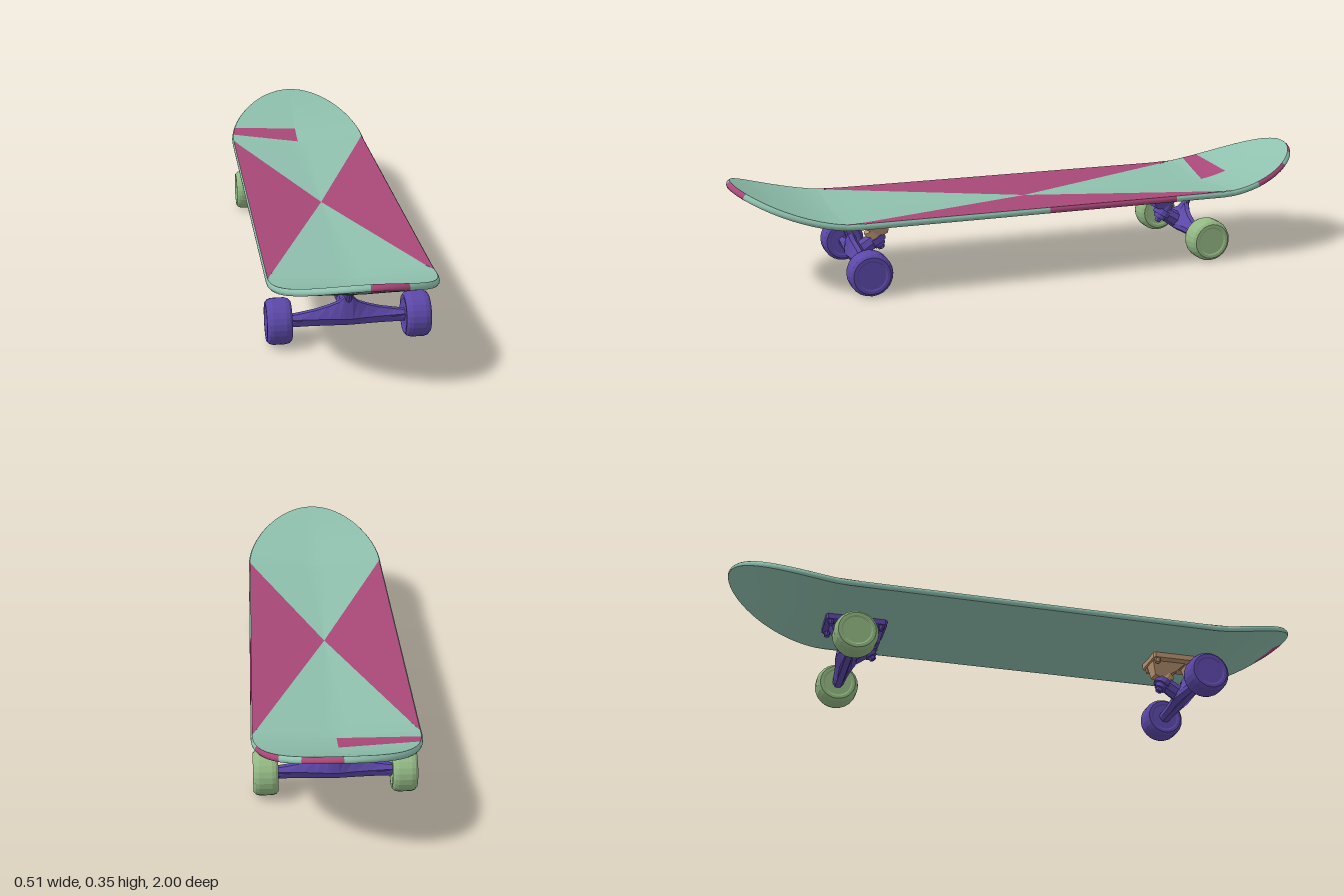
import * as THREE from 'three';

const TEAL = 0x8fc0ae, PINK = 0xa84878, PURPLE = 0x5c48a8, TAN = 0xb8926f, GREEN = 0x93b884;
const HALF_W = 0.25, STRAIGHT = 0.67, END = 0.32, THICK = 0.02;

function material(color, flat = false) {
  return new THREE.MeshStandardMaterial({ color, flatShading: flat, side: THREE.DoubleSide });
}

function part(parent, name, geometry, color, flat = true) {
  const mesh = new THREE.Mesh(geometry, material(color, flat));
  mesh.name = name;
  parent.add(mesh);
  return mesh;
}

// Grid surface from a rule (u, v) -> [x, y, z]
function surface(nu, nv, rule) {
  const pos = [], idx = [];
  for (let i = 0; i <= nu; i++)
    for (let j = 0; j <= nv; j++) pos.push(...rule(i / nu, j / nv));
  for (let i = 0; i < nu; i++)
    for (let j = 0; j < nv; j++) {
      const a = i * (nv + 1) + j, b = a + nv + 1;
      idx.push(a, b, a + 1, b, b + 1, a + 1);
    }
  const g = new THREE.BufferGeometry();
  g.setAttribute('position', new THREE.Float32BufferAttribute(pos, 3));
  g.setIndex(idx);
  g.computeVertexNormals();
  return g;
}

const lerp = THREE.MathUtils.lerp;
const kick = z => Math.pow(Math.max(0, (Math.abs(z) - 0.64) / 0.35), 1.6);

// Point on the deck at depth d below the top: shallow V across, curved kicks at both ends
function deckPoint(x, z, d = 0) {
  const k = kick(z);
  const y = 0.228 + 0.127 * k + 0.017 * (Math.abs(x) / HALF_W) * (1 - k);
  const s = 0.127 * (kick(z + 0.001) - kick(z - 0.001)) / 0.002;
  const len = Math.hypot(1, s);
  return [x, y - d / len, z + d * s / len];
}

// Plan outline, u from 0 to 4: left side, back end, right side, front end
function outline(u) {
  const seg = Math.min(3, Math.floor(u)), t = u - seg, a = t * Math.PI;
  if (seg === 0) return [HALF_W, lerp(STRAIGHT, -STRAIGHT, t), 1, 0];
  if (seg === 2) return [-HALF_W, lerp(-STRAIGHT, STRAIGHT, t), -1, 0];
  const s = seg === 1 ? 1 : -1, c = Math.cos(a) * s, n = -Math.sin(a) * s;
  return [HALF_W * c, STRAIGHT * -s + END * n, c, n];
}

function buildDeck() {
  const deck = new THREE.Group();
  deck.name = 'deck';
  const skin = (name, color, nu, nv, plan, d = 0) =>
    part(deck, name, surface(nu, nv, (u, v) => deckPoint(...plan(u, v), d)), color, false);
  const cap = (s, t0, v0, v1) => (u, v) => {
    const a = lerp(t0, Math.PI / 2, u);
    return [lerp(v0, v1, v) * HALF_W * Math.cos(a), s * (STRAIGHT + END * Math.sin(a))];
  };

  // Four triangles meeting in the middle of the top
  for (const s of [1, -1]) {
    skin('sideTriangle', PINK, 12, 16, (u, v) => [s * HALF_W * u, STRAIGHT * (2 * v - 1) * u]);
    skin('endTriangle', TEAL, 16, 12, (u, v) => [HALF_W * (2 * v - 1) * u, s * STRAIGHT * u]);
  }

  // Curved ends of the top, with a coloured strip across the right half of the back
  const stripAngle = Math.asin(0.1 / END);
  const edge = z => HALF_W * Math.sqrt(Math.max(0, 1 - ((z - STRAIGHT) / END) ** 2));
  const band = (z0, z1) => (u, v) => {
    const z = lerp(z0(v), z1(v), u);
    return [-edge(z) * v, -z];
  };
  const stripStart = v => lerp(0.675, 0.72, v);
  skin('frontEnd', TEAL, 20, 12, cap(1, 0, -1, 1));
  skin('backEndLeft', TEAL, 20, 6, cap(-1, 0, 0, 1));
  skin('backEndRight', TEAL, 16, 6, cap(-1, stripAngle, -1, 0));
  skin('backGap', TEAL, 3, 6, band(() => STRAIGHT, stripStart));
  skin('backStrip', PINK, 4, 6, band(stripStart, () => 0.77));

  // Underside
  skin('underside', TEAL, 4, 4, (u, v) => [HALF_W * (2 * v - 1), STRAIGHT * (2 * u - 1)], THICK);
  for (const s of [1, -1]) skin('undersideEnd', TEAL, 20, 12, cap(s, 0, -1, 1), THICK);

  // Rounded rim in coloured lengths
  const stops = [0, 0.5, 0.84, 1, 1.1, 1.255, 1.35, 1.5, 2, 3, 3.5, 3.65, 4];
  const pinkFrom = [0.5, 1.1, 1.35, 3.5];
  const bulge = [0, 0.004, 0.005, 0.004, 0];
  for (let i = 0; i < stops.length - 1; i++) {
    const [a, b] = [stops[i], stops[i + 1]];
    const g = surface(Math.max(3, Math.ceil((b - a) * 32)), 4, (u, v) => {
      const [x, z, nx, nz] = outline(lerp(a, b, u));
      const p = deckPoint(x, z, THICK * v), o = bulge[Math.round(v * 4)];
      return [p[0] + nx * o, p[1], p[2] + nz * o];
    });
    part(deck, 'rim', g, pinkFrom.includes(a) ? PINK : TEAL, false);
  }

  // Coloured patch under the front tip
  skin('tipPatch', PINK, 4, 4, (u, v) => {
    const x = 0.115 * v, tip = STRAIGHT + END * Math.sqrt(1 - (x / HALF_W) ** 2);
    return [x, lerp(Math.max(0.925, tip - 0.04), tip, u)];
  }, THICK + 0.0008);
  return deck;
}

// Cylinder between two points
function rod(parent, name, a, b, r0, r1, sides, color) {
  const A = new THREE.Vector3(...a), B = new THREE.Vector3(...b), dir = B.clone().sub(A);
  const m = part(parent, name, new THREE.CylinderGeometry(r1, r0, dir.length(), sides), color);
  m.position.copy(A).add(B).multiplyScalar(0.5);
  m.quaternion.setFromUnitVectors(new THREE.Vector3(0, 1, 0), dir.normalize());
  return m;
}

function buildTruck(baseColor, wheelColor) {
  const truck = new THREE.Group();
  truck.name = 'truck';

  // Base plate with corner holes
  const shape = new THREE.Shape();
  shape.moveTo(-0.062, -0.095).lineTo(-0.055, -0.102).lineTo(0.055, -0.102).lineTo(0.062, -0.095)
    .lineTo(0.062, 0.095).lineTo(0.055, 0.102).lineTo(-0.055, 0.102).lineTo(-0.062, 0.095);
  const corners = [[1, 1], [1, -1], [-1, 1], [-1, -1]];
  for (const [sx, sz] of corners)
    shape.holes.push(new THREE.Path().absarc(sx * 0.048, sz * 0.084, 0.007, 0, Math.PI * 2, true));
  const plate = new THREE.ExtrudeGeometry(shape, { depth: 0.018, bevelEnabled: false, curveSegments: 4 });
  plate.rotateX(Math.PI / 2).translate(0, 0.212, 0);
  part(truck, 'basePlate', plate, baseColor);
  for (const [sx, sz] of corners)
    rod(truck, 'bolt', [sx * 0.048, 0.2, sz * 0.084], [sx * 0.048, 0.179, sz * 0.084], 0.011, 0.009, 8, baseColor);

  // Seats for the kingpin and the pivot, narrowing downward
  const seat = (name, pts, width) => {
    const s = new THREE.Shape(pts.map(p => new THREE.Vector2(...p)));
    const g = new THREE.ExtrudeGeometry(s, { depth: width, bevelEnabled: false });
    g.translate(0, 0, -width / 2).rotateY(-Math.PI / 2);
    const p = g.attributes.position;
    for (let i = 0; i < p.count; i++)
      p.setX(i, p.getX(i) * lerp(0.6, 1, (p.getY(i) - 0.13) / 0.07));
    g.computeVertexNormals();
    part(truck, name, g, baseColor);
  };
  seat('kingpinSeat', [[-0.095, 0.198], [0.03, 0.198], [-0.005, 0.165], [-0.06, 0.135], [-0.085, 0.145]], 0.064);
  seat('pivotSeat', [[0.03, 0.198], [0.085, 0.198], [0.068, 0.165], [0.04, 0.165]], 0.056);

  // Kingpin, bushings and nut
  rod(truck, 'kingpin', [0, 0.17, -0.02], [0, 0.088, -0.07], 0.007, 0.007, 8, PURPLE);
  rod(truck, 'upperBushing', [0, 0.155, -0.03], [0, 0.128, -0.046], 0.024, 0.024, 12, baseColor);
  rod(truck, 'hangerRing', [0, 0.13, -0.045], [0, 0.112, -0.056], 0.031, 0.031, 12, PURPLE);
  rod(truck, 'lowerBushing', [0, 0.113, -0.055], [0, 0.1, -0.063], 0.022, 0.02, 12, PURPLE);
  rod(truck, 'kingpinNut', [0, 0.1, -0.063], [0, 0.09, -0.069], 0.012, 0.012, 6, PURPLE);

  // Hanger: six-sided sections across the width, [x, top, half depth, ridge offset]
  const half = [[0.176, 0.09, 0.018, 0], [0.15, 0.094, 0.02, 0], [0.1, 0.104, 0.023, 0.002],
    [0.06, 0.117, 0.027, 0.006], [0.03, 0.131, 0.031, 0.012], [0.012, 0.15, 0.034, 0.018]];
  const rows = [...half.map(([x, ...r]) => [-x, ...r]), ...half.slice().reverse()];
  const hanger = surface(rows.length - 1, 6, (u, v) => {
    const [x, top, d, ridge] = rows[Math.round(u * (rows.length - 1))];
    const ring = [[-0.5 * d, 0.054], [-d, 0.066], [-d, 0.082], [ridge - 0.008, top],
      [ridge + 0.008, top], [d, 0.08], [0.5 * d, 0.054]];
    const [z, y] = ring[Math.round(v * 6) % 7];
    return [x, y, 0.022 + z];
  });
  part(truck, 'hanger', hanger, PURPLE);
  const sole = part(truck, 'hangerSole', new THREE.BoxGeometry(0.352, 0.006, 0.02), PURPLE);
  sole.position.set(0, 0.0565, 0.022);
  rod(truck, 'pivot', [0, 0.125, 0.03], [0, 0.175, 0.055], 0.016, 0.01, 10, PURPLE);
  rod(truck, 'hangerArm', [0, 0.085, 0.012], [0, 0.121, -0.045], 0.03, 0.026, 8, PURPLE);
  rod(truck, 'axle', [-0.2, 0.072, 0.022], [0.2, 0.072, 0.022], 0.018, 0.018, 12, PURPLE);

  // Wheels with bevelled edges
  const profile = [[0, -0.036], [0.045, -0.036], [0.05, -0.0385], [0.06, -0.0385], [0.068, -0.031], [0.0715, -0.02],
    [0.0715, 0.02], [0.068, 0.031], [0.06, 0.0385], [0.05, 0.0385], [0.045, 0.036], [0, 0.036]];
  for (const s of [1, -1]) {
    const g = new THREE.LatheGeometry(profile.map(p => new THREE.Vector2(...p)), 24);
    const wheel = part(truck, 'wheel', g.rotateZ(Math.PI / 2), wheelColor);
    wheel.position.set(s * 0.2125, 0.0725, 0.022);
  }
  return truck;
}

export function createModel() {
  const model = new THREE.Group();
  model.name = 'skateboard';
  model.add(buildDeck());
  const front = buildTruck(TAN, PURPLE);
  front.name = 'frontTruck';
  front.position.z = 0.573;
  const back = buildTruck(PURPLE, GREEN);
  back.name = 'backTruck';
  back.position.z = -0.573;
  back.rotation.y = Math.PI;
  model.add(front, back);
  return model;
}
